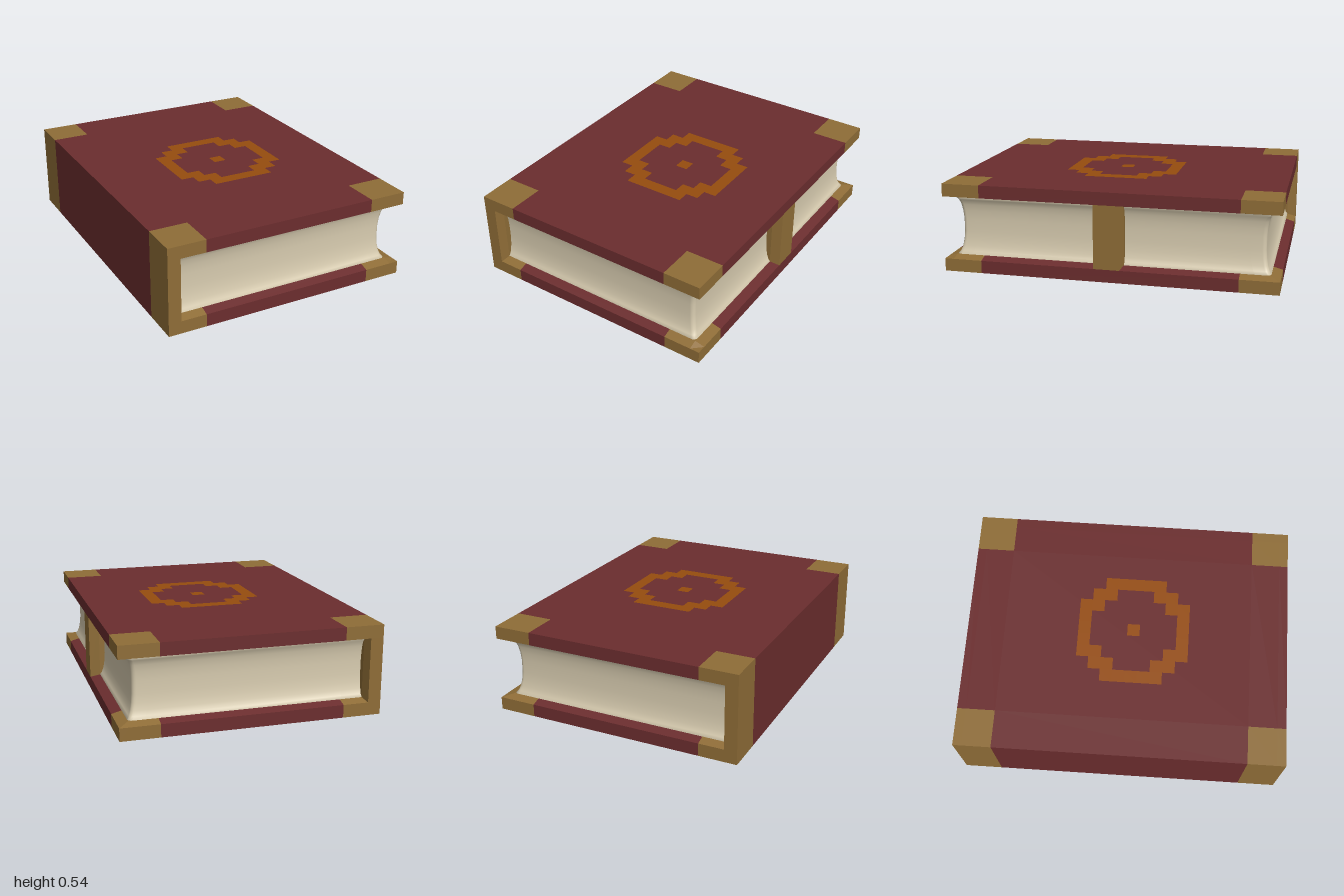
import * as THREE from 'three';
import { mergeGeometries } from 'three/addons/utils/BufferGeometryUtils.js';

const U = 1 / 13;            // base unit: the book is 20 x 7 x 26 units
const X = 10 * U, Z = 1, H = 7 * U;
const PX = 0.71, PZ = 0.945; // outer edges of the page block
const BEVEL = 0.016;         // how far the inner faces slope in toward the pages

function mat(name, color, side = THREE.FrontSide) {
  const m = new THREE.MeshStandardMaterial({ color, side });
  m.name = name;
  return m;
}

// Box cut at the given coordinates; rule(v) may move each vertex.
function gridBox(xs, ys, zs, rule) {
  const cuts = [xs, ys, zs];
  const geo = new THREE.BoxGeometry(1, 1, 1, xs.length - 1, ys.length - 1, zs.length - 1);
  const p = geo.attributes.position;
  const v = new THREE.Vector3();
  for (let i = 0; i < p.count; i++) {
    v.fromBufferAttribute(p, i);
    const c = v.toArray().map((t, k) => cuts[k][Math.round((t + 0.5) * (cuts[k].length - 1))]);
    v.fromArray(c);
    if (rule) rule(v);
    p.setXYZ(i, v.x, v.y, v.z);
  }
  const flat = geo.toNonIndexed();
  flat.computeVertexNormals();
  return flat;
}

// Sort faces into leather (group 0) and brass corners (group 1).
function cornerMesh(name, geo, leather, brass) {
  const p = geo.attributes.position;
  const buckets = [[], []];
  for (let i = 0; i < p.count; i += 3) {
    const cx = (p.getX(i) + p.getX(i + 1) + p.getX(i + 2)) / 3;
    const cz = (p.getZ(i) + p.getZ(i + 1) + p.getZ(i + 2)) / 3;
    const corner = Math.abs(cx) > X - 3 * U && Math.abs(cz) > Z - 3 * U;
    buckets[corner ? 1 : 0].push(i, i + 1, i + 2);
  }
  geo.setIndex([...buckets[0], ...buckets[1]]);
  geo.clearGroups();
  geo.addGroup(0, buckets[0].length, 0);
  geo.addGroup(buckets[0].length, buckets[1].length, 1);
  const mesh = new THREE.Mesh(geo, [leather, brass]);
  mesh.name = name;
  return mesh;
}

// Page block: a rounded plan outline stacked in rings, hollowed at mid height.
function pagesGeometry() {
  const r = 0.025, soft = 0.09;
  const outline = (d) => {
    const x = PX - d, z = PZ - d, pts = [[-0.72, z], [-0.55, z], [x - soft, z]];
    for (let i = 0; i <= 4; i++) {
      const a = (i / 4) * Math.PI / 2;
      pts.push([x - r + r * Math.sin(a), z - r + r * Math.cos(a)]);
    }
    pts.push([x, z - soft]);
    return [...pts, ...pts.slice().reverse().map(([px, pz]) => [px, -pz])];
  };
  const half = [[0, 0], [0.095, 0], [0.11, 0.012], [0.14, 0.022], [0.18, 0.029], [0.23, 0.033]];
  const profile = [...half.map(([y, d]) => [y + (y ? 0 : 0.06), d]),
    ...half.slice().reverse().map(([y, d]) => [H - (y || 0.06), d])];
  const pos = [], idx = [];
  const n = outline(0).length;
  profile.forEach(([y, d], j) => {
    outline(d).forEach(([x, z], i) => {
      pos.push(x, y, z);
      if (j && i < n - 1) {
        const c = j * n + i, a = c - n;
        idx.push(a, a + 1, c + 1, a, c + 1, c);
      }
    });
  });
  const geo = new THREE.BufferGeometry();
  geo.setAttribute('position', new THREE.Float32BufferAttribute(pos, 3));
  geo.setIndex(idx);
  geo.computeVertexNormals();
  return geo;
}

export function createModel() {
  const book = new THREE.Group();
  book.name = 'book';
  const leather = mat('red leather', 0x6b2d2e);
  const brass = mat('brass', 0x8f6d37);
  const orange = mat('orange inlay', 0x964d0e);
  const paper = mat('paper', 0xd8ccb0, THREE.DoubleSide);

  const zs = [-Z, -PZ, -Z + 3 * U, Z - 3 * U, PZ, Z];
  const xs = [-X, -X + 3 * U, X - 3 * U, PX, X];

  // Covers, with inner faces sloping toward the pages
  const overPages = (v) => v.x < PX + 0.001 && Math.abs(v.z) < PZ + 0.001;
  book.add(cornerMesh('bottomCover', gridBox(xs, [0, U], zs, (v) => {
    if (v.y > 0.01 && overPages(v)) v.y += BEVEL;
  }), leather, brass));
  book.add(cornerMesh('topCover', gridBox(xs, [H - U, H], zs, (v) => {
    if (v.y < H - 0.01 && overPages(v)) v.y -= BEVEL;
  }), leather, brass));

  // Spine
  book.add(cornerMesh('spine', gridBox([-X, -X + U], [U, H - U], zs, (v) => {
    if (v.x > -X + 0.01 && Math.abs(v.z) < PZ + 0.001) v.x += BEVEL;
  }), leather, brass));

  // Pages
  const pages = new THREE.Mesh(pagesGeometry(), paper);
  pages.name = 'pages';
  book.add(pages);

  // Clasp, widening where it meets the pages
  const clasp = new THREE.Mesh(gridBox([0.64, PX, X], [U, H - U], [-U, U], (v) => {
    if (v.x < X - 0.01) v.z += Math.sign(v.z) * BEVEL;
  }), brass);
  clasp.name = 'clasp';
  book.add(clasp);

  // Stepped ring and centre dot inlaid in the top cover
  const rows = ['..#####..', '.##...##.', '##.....##', '#.......#', '#...#...#',
    '#.......#', '##.....##', '.##...##.', '..#####..'];
  const tiles = [];
  rows.forEach((row, j) => [...row].forEach((c, i) => {
    if (c !== '#') return;
    const tile = new THREE.PlaneGeometry(U, U).rotateX(-Math.PI / 2);
    tiles.push(tile.translate((i - 3.5) * U, H + 0.002, (j - 3.5) * U));
  }));
  const emblem = new THREE.Mesh(mergeGeometries(tiles), orange);
  emblem.name = 'coverRing';
  book.add(emblem);

  return book;
}
